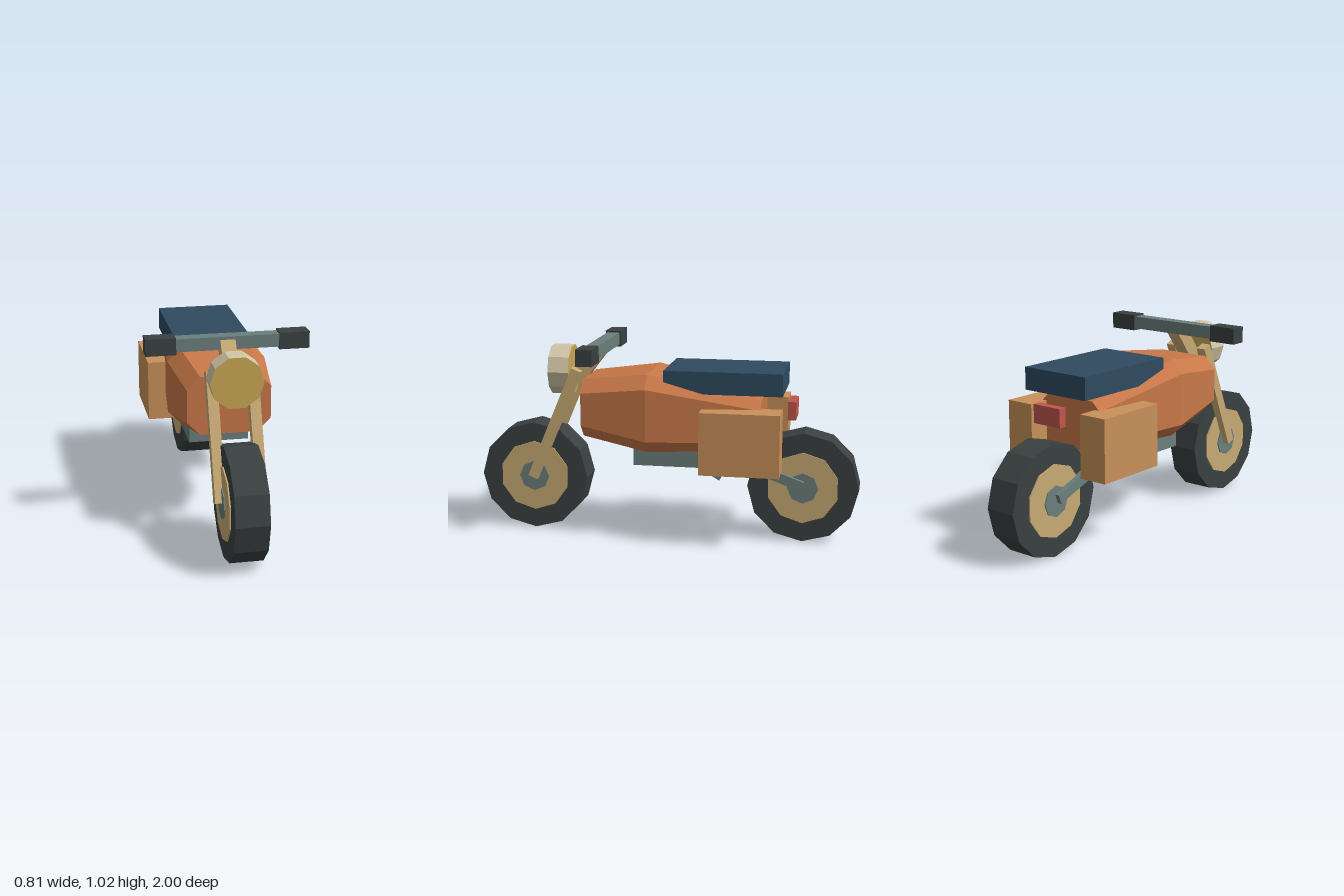
import * as THREE from 'three';

const mat = (name, color) => {
  const m = new THREE.MeshStandardMaterial({ color });
  m.name = name;
  return m;
};

export function createModel() {
  const rubber = mat('dark rubber', 0x3a4041);
  const tan = mat('tan', 0xc8ab74);
  const steel = mat('grey green steel', 0x6b7f7c);
  const orange = mat('orange paint', 0xc87848);
  const leather = mat('light brown bag', 0xc8905a);
  const navy = mat('navy seat', 0x2f4a60);
  const cream = mat('cream shell', 0xd2c6a6);
  const gold = mat('gold lens', 0xc8a855);
  const red = mat('red light', 0xc0564c);

  const model = new THREE.Group();
  model.name = 'motorcycle';

  const add = (name, geo, material, parent = model) => {
    const m = new THREE.Mesh(geo, material);
    m.name = name;
    parent.add(m);
    return m;
  };
  // box given by its minimum and maximum corners
  const box = (name, a, b, material) => {
    const m = add(name, new THREE.BoxGeometry(b[0] - a[0], b[1] - a[1], b[2] - a[2]), material);
    m.position.set((a[0] + b[0]) / 2, (a[1] + b[1]) / 2, (a[2] + b[2]) / 2);
    return m;
  };
  // square bar at x, running between two [y, z] points
  const bar = (name, x, a, b, thick, material) => {
    const dy = b[0] - a[0], dz = b[1] - a[1];
    const m = add(name, new THREE.BoxGeometry(thick, Math.hypot(dy, dz), thick), material);
    m.position.set(x, (a[0] + b[0]) / 2, (a[1] + b[1]) / 2);
    m.rotation.x = Math.atan2(dz, dy);
    return m;
  };
  const faceted = (geo) => {
    const g = geo.toNonIndexed();
    g.computeVertexNormals();
    return g;
  };

  // wheels: tyre, rim and hub as nested discs, with a corner pointing up
  const disc = (r, width, sides) => faceted(
    new THREE.CylinderGeometry(r, r, width, sides).rotateZ(Math.PI / 2).rotateX(Math.PI / 2));
  for (const [name, z] of [['frontWheel', 0.713], ['rearWheel', -0.713]]) {
    const wheel = new THREE.Group();
    wheel.name = name;
    wheel.position.set(0, 0.287, z);
    add('tyre', disc(0.287, 0.166, 12), rubber, wheel);
    add('rim', disc(0.187, 0.18, 10), tan, wheel);
    add('hub', disc(0.08, 0.192, 8), steel, wheel);
    model.add(wheel);
  }

  // body: chamfered cross-sections [z, bottom, top, half width, chamfer]
  const sections = [
    [0.425, 0.53, 0.83, 0.21, 0.066],
    [0.08, 0.466, 0.87, 0.252, 0.067],
    [-0.5, 0.49, 0.75, 0.19, 0.046],
  ];
  const rings = sections.map(([z, lo, hi, w, c]) => [
    [w, lo + c], [w, hi - c], [w - c, hi], [c - w, hi],
    [-w, hi - c], [-w, lo + c], [c - w, lo], [w - c, lo],
  ].map(([x, y]) => [x, y, z]));
  const pos = [];
  const tri = (...p) => p.forEach((v) => pos.push(...v));
  for (let s = 0; s < 2; s++) {
    for (let i = 0; i < 8; i++) {
      const j = (i + 1) % 8, f = rings[s], r = rings[s + 1];
      tri(f[i], r[i], r[j]);
      tri(f[i], r[j], f[j]);
    }
  }
  for (let i = 1; i < 7; i++) {
    tri(rings[0][0], rings[0][i], rings[0][i + 1]);
    tri(rings[2][0], rings[2][i + 1], rings[2][i]);
  }
  const bodyGeo = new THREE.BufferGeometry();
  bodyGeo.setAttribute('position', new THREE.Float32BufferAttribute(pos, 3));
  bodyGeo.computeVertexNormals();
  add('body', bodyGeo, orange);

  // seat, engine and tail light
  box('seat', [-0.195, 0.78, -0.61], [0.195, 0.895, -0.005], navy);
  box('engine', [-0.155, 0.387, -0.19], [0.155, 0.58, 0.16], steel);
  box('tailLight', [-0.085, 0.64, -0.67], [0.085, 0.735, -0.628], red);

  // steering: stem, handlebar and headlight
  bar('steeringStem', 0, [0.795, 0.495], [0.98, 0.355], 0.075, tan);
  box('handlebar', [-0.26, 0.95, 0.322], [0.26, 1.015, 0.387], steel);
  const lamp = faceted(new THREE.CylinderGeometry(0.132, 0.132, 0.11, 10)
    .rotateY(Math.PI / 2).rotateX(Math.PI / 2));
  add('headlight', lamp, [cream, gold, gold]).position.set(0, 0.855, 0.564);

  // mirrored parts
  for (const s of [1, -1]) {
    const side = s > 0 ? 'left' : 'right';
    bar(side + 'Fork', s * 0.102, [0.287, 0.713], [0.87, 0.468], 0.053, tan);
    bar(side + 'SwingArm', s * 0.095, [0.3, -0.713], [0.485, -0.2], 0.05, steel);
    bar(side + 'Exhaust', s * 0.095, [0.342, -0.3], [0.43, -0.15], 0.06, steel);
    const grip = add(side + 'Grip', new THREE.BoxGeometry(0.15, 0.084, 0.084), rubber);
    grip.position.set(s * 0.33, 0.981, 0.355);
    const bag = add(side + 'Saddlebag', new THREE.BoxGeometry(0.155, 0.32, 0.405), leather);
    bag.position.set(s * 0.2375, 0.55, -0.407);
  }
  return model;
}
